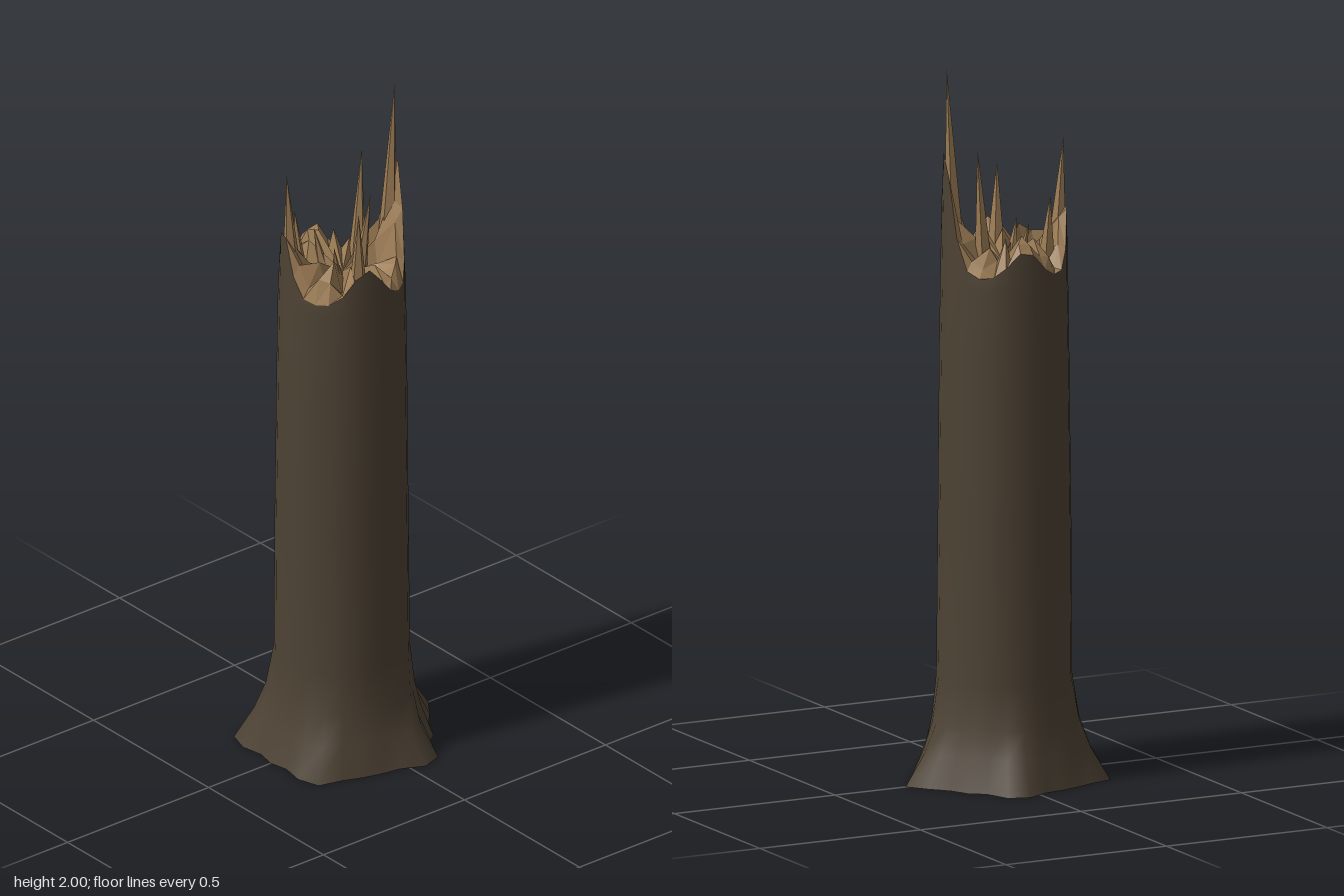
import * as THREE from 'three';

const N = 28; // columns around the trunk
const CX = -0.027; // trunk axis in x

// Root outline on the ground, as x,z pairs for one half, from +x round to -x
const FRONT = [
  [0.28, 0], [0.24, 0.055], [0.195, 0.105], [0.17, 0.157], [0.127, 0.19],
  [0.1, 0.263], [0.04, 0.282], [-0.025, 0.25], [-0.08, 0.241], [-0.137, 0.225],
  [-0.19, 0.203], [-0.26, 0.184], [-0.28, 0.12], [-0.268, 0.055], [-0.28, 0],
];
const OUTLINE = [...FRONT, ...FRONT.slice(1, -1).reverse().map(([x, z]) => [x, -z])];

// Peaks of the broken rim: angle, height above the lowest rim, width (degrees)
const PEAKS = [[10, 0.34, 15], [105, 0.11, 15], [199, 0.19, 13], [278, 0.08, 14]];

function rimHeight(deg) {
  let h = 1.43;
  for (const [a, height, w] of PEAKS) {
    const d = ((deg - a + 540) % 360) - 180;
    h += height * Math.exp(-0.5 * (d / w) ** 2);
  }
  return h;
}

function seeded(seed) {
  return () => {
    seed = (seed * 16807) % 2147483647;
    return seed / 2147483647;
  };
}

// One closed loop of N points; fn gets the index and the angle in radians
function loop(fn) {
  return Array.from({ length: N }, (_, i) => fn(i, (i / N) * Math.PI * 2));
}

function ring(radius, height, cx = CX) {
  return loop((i, a) => [cx + radius * Math.cos(a), height(i, a), radius * Math.sin(a)]);
}

// Skin a list of loops, each joined to the next
function skin(loops) {
  const index = [];
  for (let j = 0; j < loops.length - 1; j++) {
    for (let i = 0; i < N; i++) {
      const k = (i + 1) % N;
      const a = j * N + i, b = j * N + k, c = a + N, d = b + N;
      index.push(a, c, b, b, c, d);
    }
  }
  const g = new THREE.BufferGeometry();
  g.setAttribute('position', new THREE.Float32BufferAttribute(loops.flat(2), 3));
  g.setIndex(index);
  g.computeVertexNormals();
  return g;
}

export function createModel() {
  const group = new THREE.Group();
  const bark = new THREE.MeshStandardMaterial({ color: 0x4d4234, side: THREE.DoubleSide });
  bark.name = 'bark';
  const wood = new THREE.MeshStandardMaterial({ color: 0x9c7c55, side: THREE.DoubleSide, flatShading: true });
  wood.name = 'splinteredWood';

  const add = (name, geometry, material) => {
    const mesh = new THREE.Mesh(geometry, material);
    mesh.name = name;
    group.add(mesh);
    return mesh;
  };

  const rimY = (i, a) => rimHeight(THREE.MathUtils.radToDeg(a));

  // Trunk: flared roots blending into a round column with a torn rim
  const flare = (y, t) => loop((i, a) => {
    const x = CX + 0.187 * Math.cos(a), z = 0.187 * Math.sin(a);
    return [x + (OUTLINE[i][0] - x) * t, y, z + (OUTLINE[i][1] - z) * t];
  });
  const rim = ring(0.172, rimY);
  add('trunkBark', skin([
    flare(0, 1), flare(0.09, 0.5), flare(0.17, 0.2), flare(0.29, 0),
    ring(0.184, () => 0.7, -0.028), ring(0.179, () => 1.2), ring(0.176, () => 1.4), rim,
  ]), bark);

  // Broken wood: jagged rings running in from the rim to the heart
  const rand = seeded(71);
  const inner = ring(0.15, (i, a) => 1.42 + (rimY(i, a) - 1.43) * 0.6 + rand() * 0.08);
  const jagged = ring(0.1, (i) => 1.41 + (i % 2) * 0.06 + rand() * 0.07);
  const heart = loop(() => [-0.02, 1.45, -0.005]);
  add('brokenWood', skin([rim, inner, jagged, heart]), wood);

  // Splinters: thin leaning spikes, given as base, tip and base radius
  const splinters = [
    [[0.112, 1.45, 0.025], [0.137, 2.0, 0.028], 0.032],
    [[-0.165, 1.43, -0.045], [-0.19, 1.79, -0.04], 0.032],
    [[-0.06, 1.42, 0.11], [-0.075, 1.7, 0.132], 0.03],
    [[0.05, 1.42, -0.03], [0.08, 1.78, -0.045], 0.028],
    [[0.012, 1.42, 0.025], [0.035, 1.69, 0.048], 0.024],
    [[-0.06, 1.42, 0.025], [-0.085, 1.56, 0.038], 0.022],
    [[-0.045, 1.42, -0.05], [-0.065, 1.57, -0.075], 0.022],
    [[-0.12, 1.42, -0.07], [-0.125, 1.64, -0.085], 0.03],
  ];
  const up = new THREE.Vector3(0, 1, 0);
  splinters.forEach(([from, to, radius], n) => {
    const base = new THREE.Vector3(...from);
    const axis = new THREE.Vector3(...to).sub(base);
    const length = axis.length();
    const g = new THREE.ConeGeometry(radius, length, 5, 1, true);
    g.translate(0, length / 2, 0);
    const mesh = add(`splinter${n + 1}`, g, wood);
    mesh.position.copy(base);
    mesh.quaternion.setFromUnitVectors(up, axis.normalize());
  });

  return group;
}
